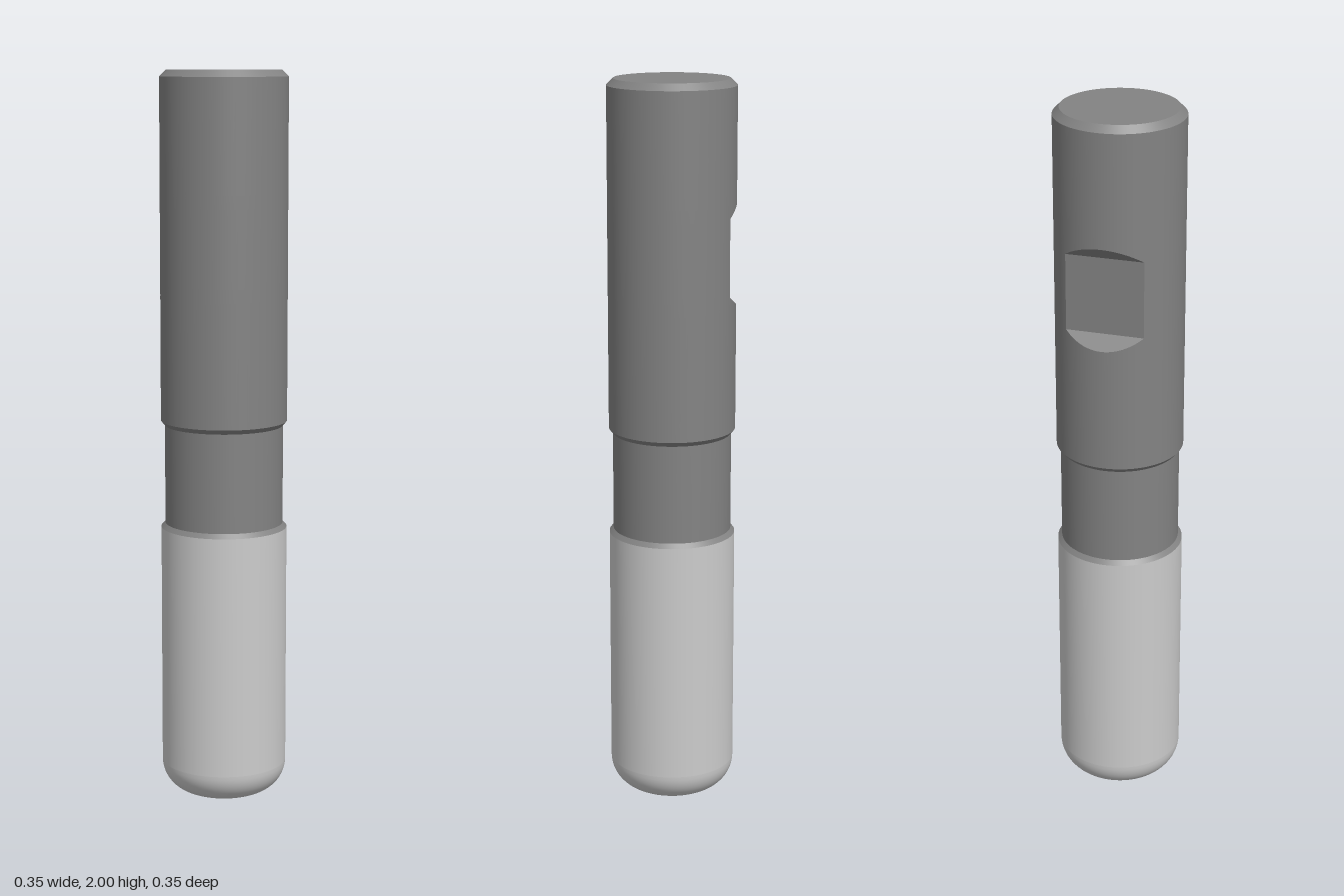
import * as THREE from 'three';
import { mergeGeometries } from 'three/addons/utils/BufferGeometryUtils.js';

const R = 0.173, NECK = 0.162, SEG = 96;
const FLAT = 0.137, DEPTH = R - FLAT;      // clamping flat at the back
const FLAT_LOW = 1.43, FLAT_HIGH = 1.64;
const WALL_LOW = 1.055, WALL_HIGH = 1.982;

const light = new THREE.MeshStandardMaterial({ color: 0xcccccc });
const dark = new THREE.MeshStandardMaterial({ color: 0x838383 });

// Each profile section is smooth in itself and sharp against the next
function turned(name, material, sections) {
  const parts = sections.map(points =>
    new THREE.LatheGeometry(points.map(p => new THREE.Vector2(p[0], p[1])), SEG));
  const mesh = new THREE.Mesh(mergeGeometries(parts), material);
  mesh.name = name;
  return mesh;
}

// Surface through rows of points stacked upwards
function strip(rows, normalAt) {
  const pos = [], nor = [], index = [], n = rows[0].length;
  rows.forEach((row, j) => row.forEach((p, i) => {
    pos.push(...p);
    nor.push(...normalAt(p));
    if (j && i) {
      const d = j * n + i, c = d - 1, b = d - n, a = b - 1;
      index.push(a, c, b, b, c, d);
    }
  }));
  const g = new THREE.BufferGeometry();
  g.setAttribute('position', new THREE.Float32BufferAttribute(pos, 3));
  g.setAttribute('normal', new THREE.Float32BufferAttribute(nor, 3));
  g.setIndex(index);
  return g;
}

// Distance of the notch surface from the axis at height y
const reach = y => Math.min(R, FLAT + Math.max(0, FLAT_LOW - y, y - FLAT_HIGH));

// Round wall at height y, leaving the notch open
function arcRow(y) {
  const a = Math.acos(reach(y) / R), row = [];
  for (let i = 0; i <= SEG; i++) {
    const t = a + (2 * Math.PI - 2 * a) * i / SEG;
    row.push([R * Math.sin(t), y, -R * Math.cos(t)]);
  }
  return row;
}

// Straight cut across the notch at height y
function chordRow(y) {
  const r = reach(y), w = Math.sqrt(Math.max(0, R * R - r * r));
  return [[-w, y, -r], [w, y, -r]];
}

function notchedWall() {
  // Heights bunch up towards the rounded tips of the sloped ends
  const low = [], high = [], steps = 12;
  for (let i = 0; i <= steps; i++) {
    const k = (i / steps) ** 2;
    low.push(FLAT_LOW - DEPTH * (1 - k));
    high.unshift(FLAT_HIGH + DEPTH * (1 - k));
  }
  const s = Math.SQRT1_2;
  return mergeGeometries([
    strip([WALL_LOW, ...low, ...high, WALL_HIGH].map(arcRow), p => [p[0] / R, 0, p[2] / R]),
    strip(low.map(chordRow), () => [0, s, -s]),
    strip([FLAT_LOW, FLAT_HIGH].map(chordRow), () => [0, 0, -1]),
    strip(high.map(chordRow), () => [0, -s, -s]),
  ]);
}

export function createModel() {
  const model = new THREE.Group();
  model.name = 'endMill';

  // Cutting body with rounded lower corner
  const f = 0.088, corner = [];
  for (let i = 0; i <= 14; i++) {
    const t = i / 14 * Math.PI / 2;
    corner.push([R - f + f * Math.sin(t), f - f * Math.cos(t)]);
  }
  model.add(turned('cuttingBody', light, [
    [[0, 0], [R - f, 0]],
    corner,
    [[R, f], [R, 0.758]],
  ]));

  // Recessed neck with a bevel at each end
  model.add(turned('neck', dark, [
    [[R, 0.758], [NECK, 0.77]],
    [[NECK, 0.77], [NECK, 1.042]],
    [[NECK, 1.042], [R, WALL_LOW]],
  ]));

  // Shank: notched wall, top bevel and end face
  const shank = new THREE.Group();
  shank.name = 'shank';
  const wall = new THREE.Mesh(notchedWall(), dark);
  wall.name = 'shankWall';
  shank.add(wall, turned('shankEnd', dark, [
    [[R, WALL_HIGH], [0.155, 2]],
    [[0.155, 2], [0, 2]],
  ]));
  model.add(shank);

  return model;
}
